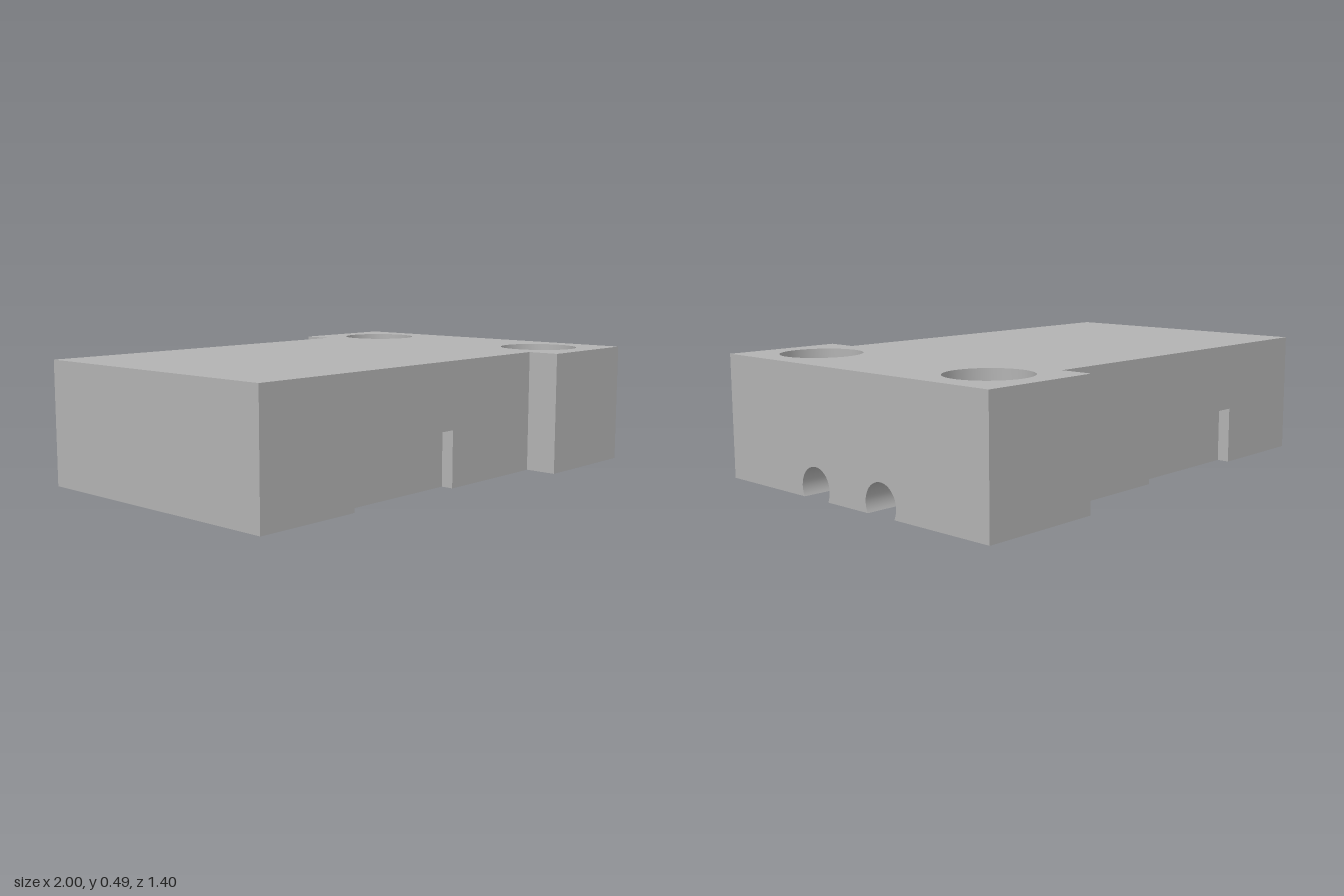
import * as THREE from 'three';
import { toCreasedNormals } from 'three/addons/utils/BufferGeometryUtils.js';

const H = 0.49;                    // overall height
const X0 = -0.94, X1 = 0.36;       // cavity ends
const ZL = 0.477, ZU = 0.41;       // lower / upper cavity half widths
const YL = 0.14, YU = 0.41;        // ledge height, cavity ceiling
const CZ = 0.18, CY = 0.04, R = 0.08, HW = R * Math.cos(Math.PI / 6); // cable channels
const SX = 0.55, SY = 0.09;        // wire slots: end and height
const HX = 0.75, HZ = 0.455, BORE = 0.09, SINK = 0.16; // screw holes

export function createModel() {
  const model = new THREE.Group();
  const grey = new THREE.MeshStandardMaterial({ color: 0xb2b2b2 });
  grey.name = 'plain grey';

  function add(name, geometry) {
    const mesh = new THREE.Mesh(geometry, grey);
    mesh.name = name;
    model.add(mesh);
    return mesh;
  }

  function flip(g) {
    const a = g.index.array;
    for (let i = 0; i < a.length; i += 3) [a[i], a[i + 2]] = [a[i + 2], a[i]];
    return g;
  }

  // Flat face on a plane; x planes use (z, y), y planes (x, z), z planes (x, y)
  function panel(name, axis, sign, offset, points, holes = []) {
    const shape = new THREE.Shape(points.map(p => new THREE.Vector2(p[0], p[1])));
    shape.holes.push(...holes);
    const g = new THREE.ShapeGeometry(shape, 24);
    const p = g.attributes.position;
    for (let i = 0; i < p.count; i++) {
      const u = p.getX(i), v = p.getY(i);
      if (axis === 'x') p.setXYZ(i, offset, v, u);
      else if (axis === 'y') p.setXYZ(i, u, offset, v);
      else p.setXYZ(i, u, v, offset);
    }
    if (sign !== (axis === 'z' ? 1 : -1)) flip(g);
    g.computeVertexNormals();
    add(name, g);
  }

  const rect = (a, b, c, d) => [[a, c], [b, c], [b, d], [a, d]];
  const circle = (x, y, r) => new THREE.Path().absarc(x, y, r, 0, Math.PI * 2, true);
  const hole = points => new THREE.Path(points.map(p => new THREE.Vector2(p[0], p[1])));

  // Inward-facing box; open lists missing sides (0 +x, 1 -x, 2 +y, 3 -y, 4 +z, 5 -z)
  function pocket(name, x0, x1, y0, y1, z0, z1, open) {
    const g = new THREE.BoxGeometry(x1 - x0, y1 - y0, z1 - z0);
    const index = [];
    for (let f = 0; f < 6; f++) {
      if (!open.includes(f)) index.push(...Array.from(g.index.array.slice(f * 6, f * 6 + 6)));
    }
    g.setIndex(index);
    g.clearGroups();
    flip(g);
    const n = g.attributes.normal;
    for (let i = 0; i < n.array.length; i++) n.array[i] *= -1;
    add(name, g).position.set((x0 + x1) / 2, (y0 + y1) / 2, (z0 + z1) / 2);
  }

  // Arc of the channel section between two angles in degrees
  function arc(cz, from, to, steps = 32) {
    return Array.from({ length: steps + 1 }, (_, i) => {
      const a = THREE.MathUtils.degToRad(from + (to - from) * i / steps);
      return [cz + R * Math.cos(a), CY + R * Math.sin(a)];
    });
  }

  // Top and ends of the block
  panel('top', 'y', 1, H,
    [[-1, -0.57], [0.51, -0.57], [0.51, -0.7], [1, -0.7], [1, 0.7], [0.51, 0.7], [0.51, 0.57], [-1, 0.57]],
    [circle(HX, HZ, SINK), circle(HX, -HZ, SINK)]);
  panel('plainEnd', 'x', -1, -1, rect(-0.57, 0.57, 0, H));
  panel('cableEnd', 'x', 1, 1,
    [[-0.7, 0], [-0.7, H], [0.7, H], [0.7, 0], ...arc(CZ, -30, 210), ...arc(-CZ, -30, 210)]);

  // Underside: rim with notches, and the rib between the channels
  const halfRim = [[1, CZ + HW], [1, 0.7], [0.51, 0.7], [0.51, 0.57], [0, 0.57], [0, 0.52],
    [-0.555, 0.52], [-0.555, 0.57], [-1, 0.57]];
  const halfInner = [[X0, ZL], [X1, ZL], [X1, CZ + R], [SX, CZ + R], [SX, CZ + HW]];
  const mirror = pts => pts.map(([x, z]) => [x, -z]).reverse();
  panel('bottomRim', 'y', -1, 0,
    [...halfRim, ...mirror(halfRim), ...mirror(halfInner), ...halfInner],
    [circle(HX, HZ, BORE), circle(HX, -HZ, BORE)]);
  const ribEdge = [[1, CZ - HW], [SX, CZ - HW], [SX, CZ - R], [X1, CZ - R]];
  panel('bottomRib', 'y', -1, 0, [...ribEdge, ...mirror(ribEdge)]);

  // Main cavity
  pocket('upperCavity', X0, X1, YL, YU, -ZU, ZU, [3]);
  panel('cavityEnd', 'x', 1, X0, rect(-ZL, ZL, 0, YL));
  const slotEdge = c => [[c + R, 0], [c + R, SY], [c - R, SY], [c - R, 0]];
  panel('cavityCableWall', 'x', -1, X1,
    [[-ZL, 0], [-ZL, YL], [ZL, YL], [ZL, 0], ...slotEdge(CZ), ...slotEdge(-CZ)]);

  for (const s of [1, -1]) {
    const span = (a, b) => s > 0 ? [a, b] : [-b, -a];
    const outer = s > 0 ? 4 : 5, inner = s > 0 ? 5 : 4;

    // Long side with its notch, and the wide shoulder
    panel('side', 'z', s, s * 0.57,
      [[-1, 0], [-0.555, 0], [-0.555, 0.225], [0, 0.225], [0, 0], [0.51, 0], [0.51, H], [-1, H]]);
    pocket('sideNotch', -0.555, 0, 0, 0.225, ...span(0.52, 0.57), [3, outer]);
    panel('shoulderSide', 'z', s, s * 0.7, rect(0.51, 1, 0, H));
    panel('shoulderStep', 'x', -1, 0.51, rect(...span(0.57, 0.7), 0, H));

    // Cavity ledge, lower wall and snap recess
    panel('cavityLedge', 'y', -1, YL, rect(X0, X1, ...span(ZU, ZL)));
    panel('lowerWall', 'z', -s, s * ZL, rect(X0, X1, 0, YL), [hole(rect(-0.42, -0.17, 0.045, 0.105))]);
    pocket('snapRecess', -0.42, -0.17, 0.045, 0.105, ...span(ZL, 0.505), [inner]);

    // Round cable channel
    const c = s * CZ;
    const channel = flip(new THREE.CylinderGeometry(R, R, 1 - SX, 32, 1, true, -Math.PI / 6, Math.PI * 4 / 3));
    channel.rotateZ(Math.PI / 2);
    channel.computeVertexNormals();
    add('cableChannel', channel).position.set((1 + SX) / 2, CY, c);

    // Square wire slot and the small faces where it meets the channel
    pocket('wireSlot', X1, SX, 0, SY, c - R, c + R, [0, 1, 3]);
    const a = THREE.MathUtils.radToDeg(Math.asin((SY - CY) / R));
    panel('channelStop', 'x', 1, SX, arc(c, a, 180 - a, 16));
    for (const k of [1, -1]) {
      const corner = [...arc(0, -30, a, 16), [R + 0.0005, SY], [R + 0.0005, 0]];
      panel('slotCorner', 'x', -1, SX, corner.map(([z, y]) => [c + k * z, y]));
    }

    // Counterbored screw hole
    const profile = [[SINK, H], [SINK, 0.2], [BORE, 0.2], [BORE, 0]].map(p => new THREE.Vector2(...p));
    add('screwHole', toCreasedNormals(new THREE.LatheGeometry(profile, 48), 0.6))
      .position.set(HX, 0, s * HZ);
  }
  return model;
}
